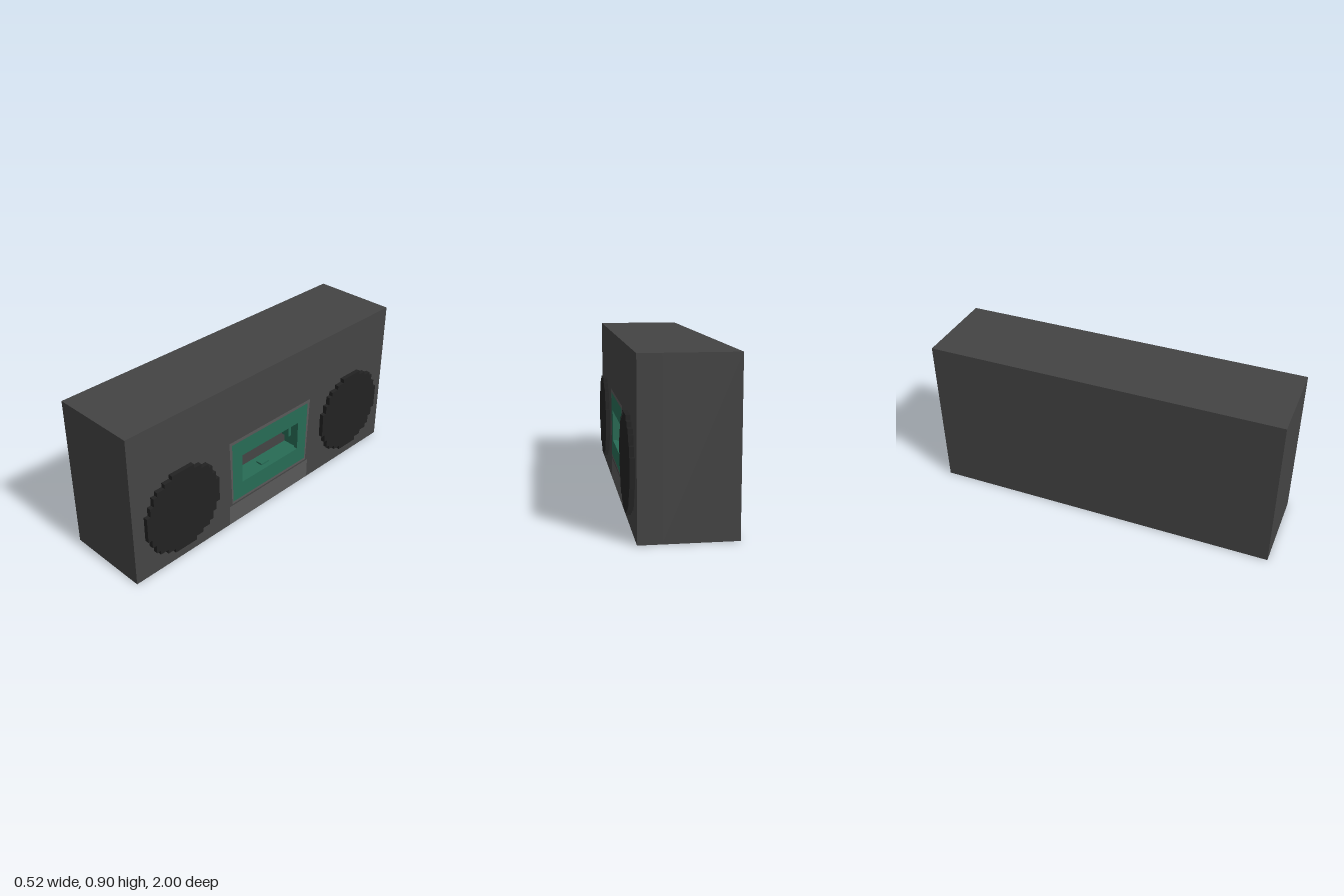
import * as THREE from 'three';

const FACE = 0.235; // x of the speaker face
const BACK = -0.26;
const POCKET = 0.12; // depth of the cassette pocket

const paint = (color) => new THREE.MeshStandardMaterial({ color, flatShading: true });

const rect = (w, y0, y1) => [[-w, y0], [w, y0], [w, y1], [-w, y1]];
const toPoints = (list) => list.map(([u, v]) => new THREE.Vector2(u, v));

// Extrude an outline drawn on the speaker face (u = -z, v = y) from x0 to x1
function plate(name, outline, hole, x0, x1, material) {
  const shape = new THREE.Shape(toPoints(outline));
  if (hole) shape.holes.push(new THREE.Path(toPoints(hole)));
  const geometry = new THREE.ExtrudeGeometry(shape, { depth: x1 - x0, bevelEnabled: false });
  geometry.rotateY(Math.PI / 2).translate(x0, 0, 0);
  const mesh = new THREE.Mesh(geometry, material);
  mesh.name = name;
  return mesh;
}

function box(name, [w, h, d], [x, y, z], material) {
  const mesh = new THREE.Mesh(new THREE.BoxGeometry(w, h, d), material);
  mesh.position.set(x, y, z);
  mesh.name = name;
  return mesh;
}

// Stepped disc outline built from one quarter, turned four times
function steppedDisc(unit) {
  const corners = [[10, 3], [9, 5], [8, 7], [7, 8], [5, 9], [3, 10]];
  const quarter = [];
  corners.forEach(([a, b], i) => {
    quarter.push([a, b]);
    if (i < corners.length - 1) quarter.push([corners[i + 1][0], b]);
  });
  const outline = [];
  for (let k = 0; k < 4; k++) {
    for (const [a, b] of quarter) {
      const turned = [[a, b], [-b, a], [-a, -b], [b, -a]][k];
      outline.push([turned[0] * unit, turned[1] * unit]);
    }
  }
  return outline;
}

export function createModel() {
  const radio = new THREE.Group();
  radio.name = 'radio';
  const dark = paint(0x444444);
  const black = paint(0x222222);
  const light = paint(0x585858);
  const green = paint(0x276b55);
  const floor = FACE - POCKET;

  // Case: solid rear and a front slab cut out for the deck and the key strip
  radio.add(box('caseRear', [floor - BACK, 0.9, 2], [(floor + BACK) / 2, 0.45, 0], dark));
  const slab = [[-1, 0], [-0.325, 0], [-0.325, 0.125], [0.325, 0.125], [0.325, 0], [1, 0], [1, 0.9], [-1, 0.9]];
  const deckOpening = [[-0.305, 0.135], [0.305, 0.135], [0.325, 0.55], [-0.325, 0.55]];
  radio.add(plate('caseFront', slab, deckOpening, floor, FACE, dark));
  radio.add(box('keyStrip', [POCKET, 0.125, 0.65], [FACE - POCKET / 2, 0.0625, 0], light));

  // Cassette deck: bezel, door with window, pocket walls and lugs
  const deck = new THREE.Group();
  deck.name = 'cassetteDeck';
  const door = [[-0.297, 0.15], [0.297, 0.15], [0.305, 0.53], [-0.305, 0.53]];
  deck.add(plate('deckBezel', deckOpening, door, floor, FACE, light));
  const rim = FACE - 0.025;
  deck.add(plate('deckDoor', door, rect(0.228, 0.25, 0.43), rim, FACE, green));
  deck.add(plate('pocketWalls', door, rect(0.25, 0.24, 0.44), floor, rim, green));
  deck.add(box('floorLug', [0.04, 0.012, 0.06], [0.175, 0.244, 0], green));
  for (const side of [-1, 1]) {
    deck.add(box('sideLug', [0.05, 0.08, 0.022], [0.14, 0.34, side * 0.239], green));
  }
  radio.add(deck);

  // Speakers
  for (const side of [-1, 1]) {
    const speaker = plate(side > 0 ? 'speakerFront' : 'speakerBack', steppedDisc(0.025), null, FACE, 0.26, black);
    speaker.position.set(0, 0.325, side * 0.675);
    radio.add(speaker);
  }
  return radio;
}
